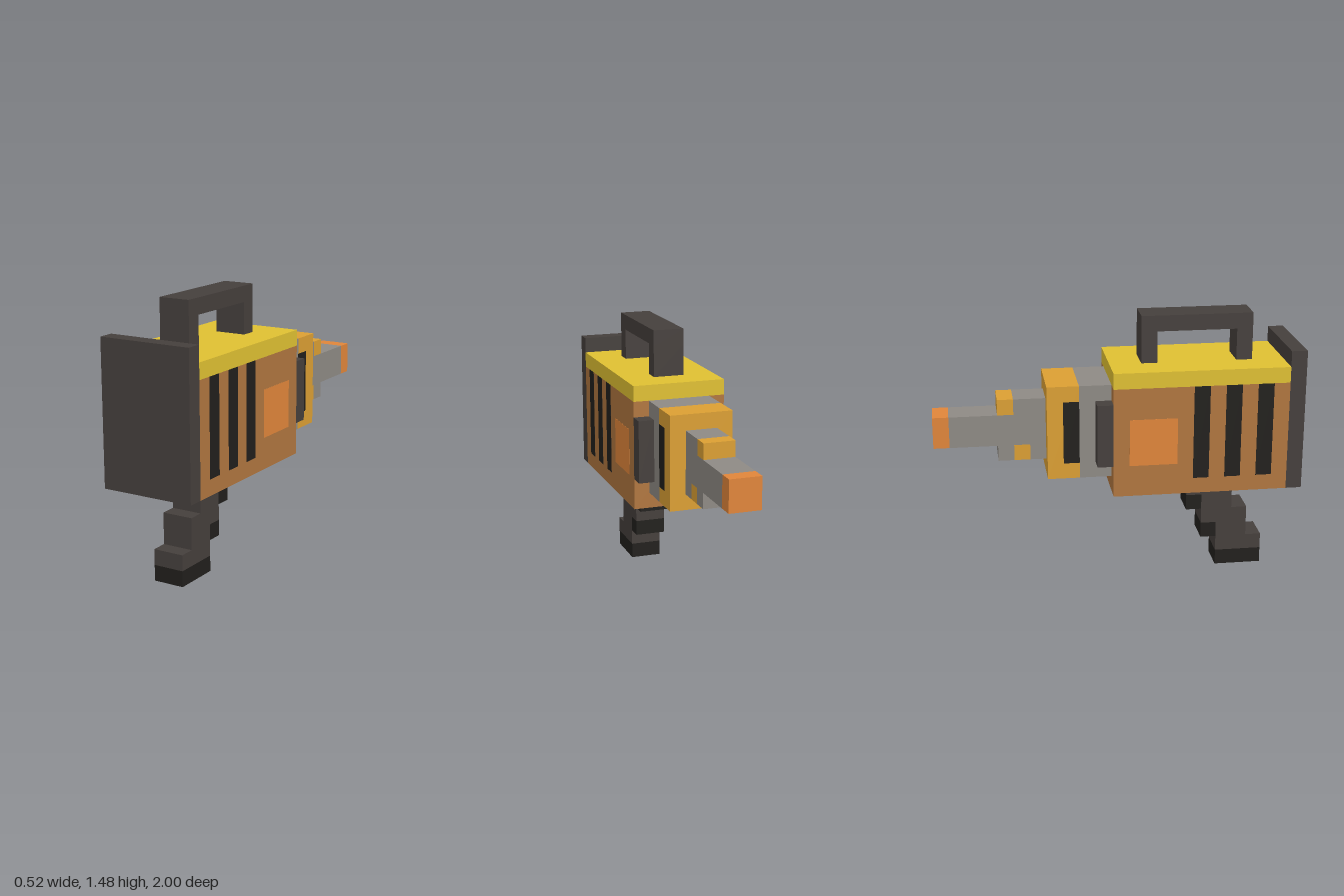
import * as THREE from 'three';

const U = 2 / 23; // one block of the grid
const PROUD = 0.002; // inlays stand just clear of the surface

const mats = {};
for (const [name, color] of Object.entries({
  dark: 0x453f3c, black: 0x211f1c, brown: 0xb0763f, yellow: 0xdfc032,
  gold: 0xdb9f33, grey: 0x8e8a84, orange: 0xe0853a,
})) mats[name] = new THREE.MeshStandardMaterial({ color });

export function createModel() {
  const model = new THREE.Group();
  model.name = 'blockTool';

  // Box from grid limits: x and y in blocks, z in blocks counted from the muzzle
  function block(name, mat, [x0, x1], [y0, y1], [z0, z1], grow = 0) {
    const geo = new THREE.BoxGeometry((x1 - x0) * U + grow, (y1 - y0) * U, (z1 - z0) * U);
    const mesh = new THREE.Mesh(geo, mats[mat]);
    mesh.name = name;
    mesh.position.set((x0 + x1) / 2 * U, (y0 + y1) / 2 * U, (z0 + z1) / 2 * U - 1);
    model.add(mesh);
  }
  const wide = [-3, 3], mid = [-2, 2], slim = [-1, 1];

  // Main housing
  block('backPlate', 'dark', wide, [6, 15], [22, 23]);
  block('body', 'brown', wide, [6, 13], [11, 22]);
  block('topCover', 'yellow', wide, [13, 14], [11, 22]);
  for (const z of [16, 18, 20]) block('ventStripe', 'black', wide, [7, 13], [z, z + 1], PROUD);
  block('sidePanel', 'orange', wide, [8, 11], [12, 15], PROUD);

  // Collars ahead of the housing
  block('greyCollar', 'grey', mid, [7, 13], [9, 11]);
  block('goldCollar', 'gold', mid, [7, 13], [7, 9]);
  block('collarWindow', 'black', mid, [8, 12], [8, 9], PROUD);
  for (const x of [-3, 2]) block('sideLug', 'dark', [x, x + 1], [8, 12], [10, 11]);

  // Barrel
  block('barrelBase', 'grey', slim, [9, 11], [4, 7]);
  block('barrelTop', 'grey', slim, [11, 12], [5, 7]);
  block('frontSight', 'gold', slim, [11, 12], [4, 5]);
  block('lowerMount', 'grey', slim, [8, 9], [6, 7]);
  block('lowerBand', 'gold', slim, [8, 9], [5, 6]);
  block('lowerTip', 'grey', slim, [8, 9], [4, 5]);
  block('barrel', 'grey', slim, [9, 11], [1, 4]);
  block('muzzle', 'orange', slim, [9, 11], [0, 1]);

  // Carrying handle
  for (const z of [13, 19]) block('handlePost', 'dark', slim, [14, 16], [z, z + 1]);
  block('handleBar', 'dark', slim, [16, 17], [13, 20]);

  // Stepped grip with black finger pads
  block('gripTop', 'dark', slim, [4, 6], [17, 19]);
  block('gripTopFront', 'dark', slim, [5, 6], [16, 17]);
  block('fingerPad', 'black', slim, [4, 5], [16, 17]);
  block('gripMiddle', 'dark', slim, [2, 4], [18, 20]);
  block('gripMiddleFront', 'dark', slim, [3, 4], [17, 18]);
  block('fingerPad', 'black', slim, [2, 3], [17, 18]);
  block('gripBottom', 'dark', slim, [1, 2], [18, 21]);
  block('gripFoot', 'black', slim, [0, 1], [18, 21]);

  return model;
}
